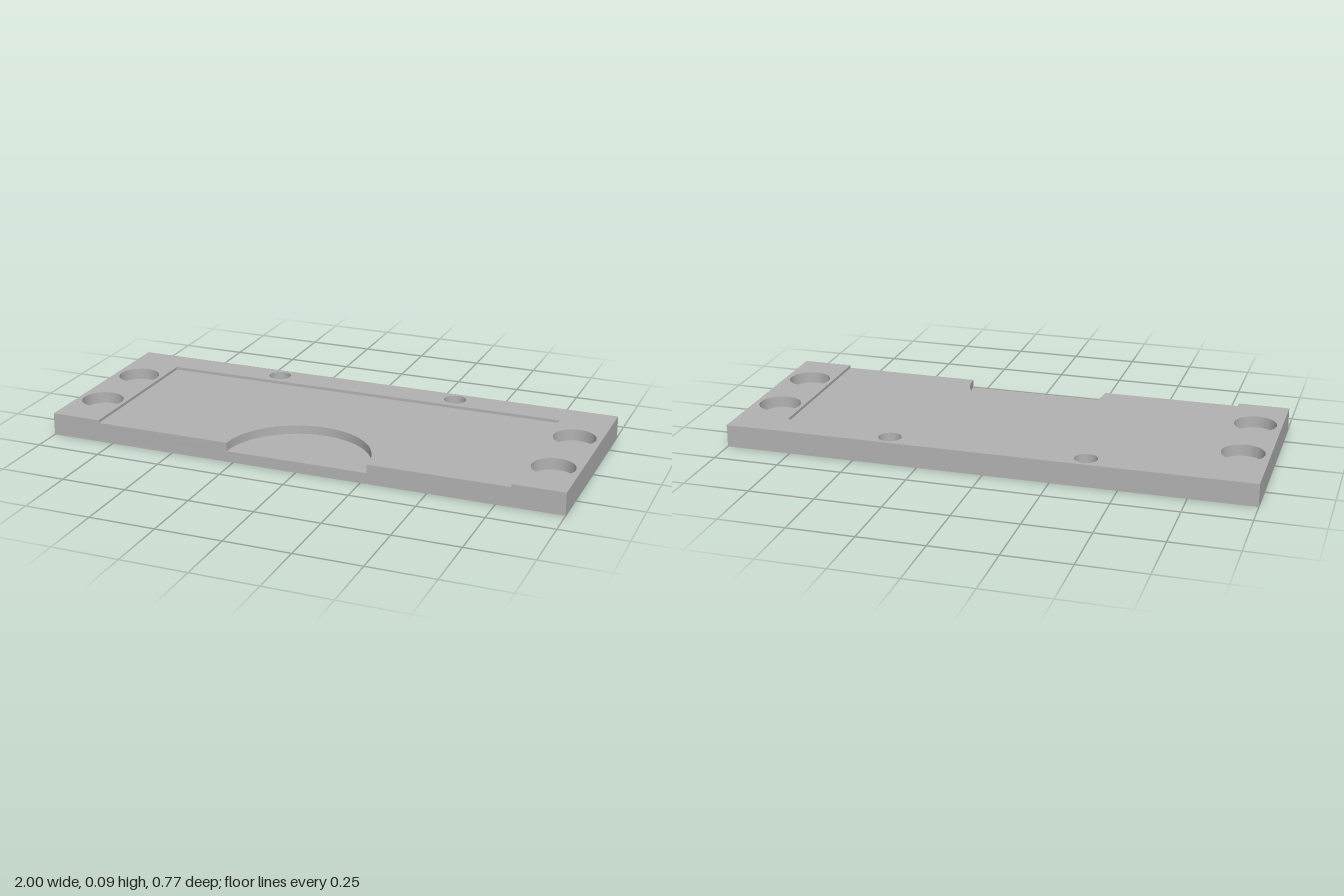
import * as THREE from 'three';
import { toCreasedNormals } from 'three/addons/utils/BufferGeometryUtils.js';

// Overall half sizes and floor heights
const W = 1, D = 0.384, TOP = 0.086;
const POCKET_Y = 0.075, NOTCH_Y = 0.042, BOLT_Y = 0.042, PIN_Y = 0.05;
const PX = 0.805, PZ = 0.262, NOTCH_R = 0.274;

const v = (x, y) => new THREE.Vector2(x, y);

// Clockwise arc in plan (plan y = -z), from angle a down to angle b
function arc(cx, cy, r, a, b, n) {
  return Array.from({ length: n + 1 }, (_, i) => {
    const t = a + ((b - a) * i) / n;
    return v(cx + r * Math.cos(t), cy + r * Math.sin(t));
  });
}

// Flat horizontal face at height y, facing up
function face(points, y, holes = []) {
  const shape = new THREE.Shape(points);
  shape.holes = holes.map((h) => new THREE.Path(h));
  return new THREE.ShapeGeometry(shape).rotateX(-Math.PI / 2).translate(0, y, 0);
}

// Vertical wall along a plan path, facing the right of the travel direction
function wall(points, y0, y1) {
  const pos = [];
  for (let i = 0; i < points.length - 1; i++) {
    const p = points[i], q = points[i + 1];
    const a = [p.x, y0, -p.y], b = [q.x, y0, -q.y];
    const c = [q.x, y1, -q.y], d = [p.x, y1, -p.y];
    pos.push(...a, ...b, ...c, ...a, ...c, ...d);
  }
  const g = new THREE.BufferGeometry();
  g.setAttribute('position', new THREE.Float32BufferAttribute(pos, 3));
  return toCreasedNormals(g, Math.PI / 6);
}

export function createModel() {
  const group = new THREE.Group();
  group.name = 'mountingPlate';
  const grey = new THREE.MeshStandardMaterial({ color: 0xb2b2b2 });
  grey.name = 'plain grey';
  const add = (name, geometry) => {
    const mesh = new THREE.Mesh(geometry, grey);
    mesh.name = name;
    group.add(mesh);
  };

  // Blind holes: four bolt holes at the ends, two pin holes at the back
  const holes = [];
  for (const s of [-1, 1]) {
    for (const z of [-0.115, 0.182]) holes.push({ name: 'boltHole', x: s * 0.9, z, r: 0.08, y: BOLT_Y });
    holes.push({ name: 'pinHole', x: s * 0.371, z: -0.326, r: 0.043, y: PIN_Y });
  }
  const rims = holes.map((h) => arc(h.x, -h.z, h.r, 2 * Math.PI, 0, 48));
  holes.forEach((h, i) => {
    add(h.name + 'Wall', wall(rims[i], h.y, TOP));
    add(h.name + 'Floor', face(rims[i].slice(0, -1), h.y));
  });

  // Raised rim around the shallow pocket
  const pocket = [v(-PX, -D), v(-PX, PZ), v(PX, PZ), v(PX, -D)];
  const outer = [v(W, -D), v(W, D), v(-W, D), v(-W, -D)];
  add('rimTop', face([...outer, ...pocket], TOP, rims.map((r) => r.slice(0, -1))));
  add('pocketWall', wall(pocket, POCKET_Y, TOP));

  // Half-round recess opening through the front edge
  const notch = arc(0, -D, NOTCH_R, Math.PI, 0, 64);
  add('pocketFloor', face([...pocket.slice().reverse(), ...notch], POCKET_Y));
  add('recessWall', wall(notch, NOTCH_Y, POCKET_Y));
  add('recessFloor', face(notch, NOTCH_Y));

  // Outer sides, stepped front and underside
  add('sidesAndBack', wall(outer, 0, TOP));
  const front = new THREE.Shape([
    v(-W, 0), v(W, 0), v(W, TOP), v(PX, TOP), v(PX, POCKET_Y), v(NOTCH_R, POCKET_Y),
    v(NOTCH_R, NOTCH_Y), v(-NOTCH_R, NOTCH_Y), v(-NOTCH_R, POCKET_Y),
    v(-PX, POCKET_Y), v(-PX, TOP), v(-W, TOP),
  ]);
  add('frontEdge', new THREE.ShapeGeometry(front).translate(0, 0, D));
  add('underside', new THREE.PlaneGeometry(2 * W, 2 * D).rotateX(Math.PI / 2));
  return group;
}
